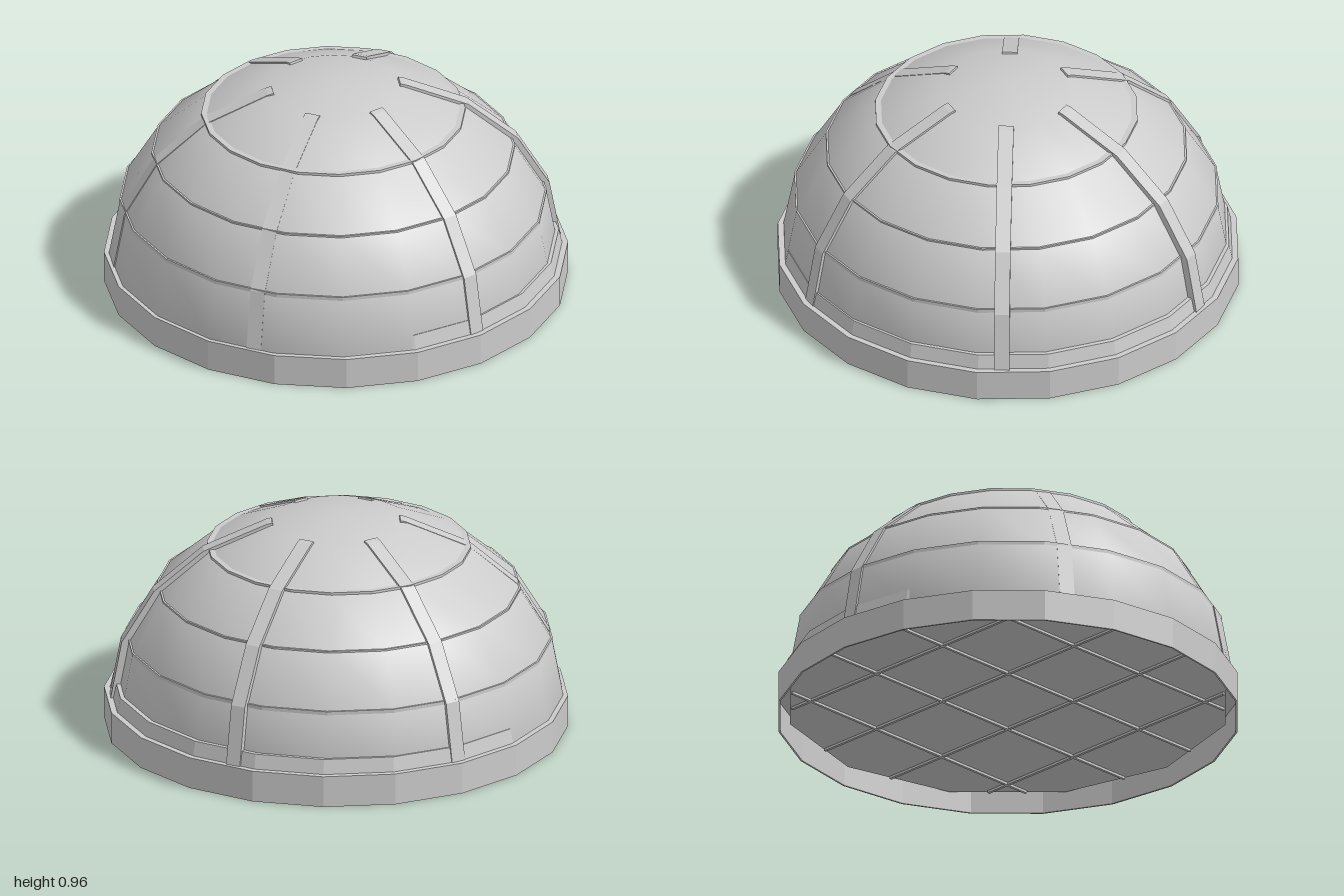
import * as THREE from 'three';

const SIDES = 20;
const DOME_R = 0.967, DOME_H = 0.825, BASE_H = 0.14, DOME_Z = 0.015;
const FLOOR_Y = 0.08, FLOOR_R = 0.97;

const smooth = new THREE.MeshStandardMaterial({ color: 0xcccccc, side: THREE.DoubleSide });
const flat = new THREE.MeshStandardMaterial({ color: 0xcccccc, side: THREE.DoubleSide, flatShading: true });

function add(parent, name, geometry, material) {
  const mesh = new THREE.Mesh(geometry, material);
  mesh.name = name;
  parent.add(mesh);
  return mesh;
}

// Band turned around the y axis, its outer face may slope
function band(inner, outer, y0, y1, outerTop = outer) {
  const profile = [[inner, y0], [outer, y0], [outerTop, y1], [inner, y1], [inner, y0]];
  return new THREE.LatheGeometry(profile.map(([r, y]) => new THREE.Vector2(r, y)), SIDES);
}

// Point on the dome section, at an angle from the apex
function domePoint(degrees, offset = 0) {
  const a = THREE.MathUtils.degToRad(degrees);
  return new THREE.Vector2(
    (DOME_R + offset) * Math.sin(a),
    BASE_H + (DOME_H + offset) * Math.cos(a)
  );
}

export function createModel() {
  const model = new THREE.Group();
  model.name = 'dome';

  // Base rim, open underneath
  add(model, 'baseRim', band(0.992, 1, 0, BASE_H), flat);
  add(model, 'baseLedge', band(0.9, 0.995, BASE_H - 0.005, BASE_H), flat);

  // Twelve-sided floor inside the rim, with a lattice of thin battens below it
  const floor = add(model, 'floor', new THREE.CylinderGeometry(FLOOR_R, FLOOR_R, 0.02, 12), flat);
  floor.position.y = FLOOR_Y + 0.01;
  const lattice = new THREE.Group();
  lattice.name = 'floorLattice';
  lattice.position.y = FLOOR_Y - 0.005;
  model.add(lattice);
  for (const d of [-0.6, -0.2, 0.2, 0.6]) {
    const length = 2 * Math.sqrt(0.87 - d * d);
    add(lattice, 'floorBatten', new THREE.BoxGeometry(length, 0.012, 0.012), flat).position.z = d;
    add(lattice, 'floorBatten', new THREE.BoxGeometry(0.012, 0.012, length), flat).position.x = d;
  }

  // Dome shell, slightly forward of the base
  const shellGeo = new THREE.SphereGeometry(DOME_R, SIDES, 5, 0, Math.PI * 2, 0, Math.PI / 2);
  shellGeo.scale(1, DOME_H / DOME_R, 1);
  const shell = add(model, 'domeShell', shellGeo, smooth);
  shell.position.set(0, BASE_H, DOME_Z);

  // Horizontal rings at the bends of the shell: angle, bottom, top
  for (const [degrees, y0, y1] of [[36, 0.803, 0.818], [54, 0.62, 0.631], [72, 0.379, 0.406]]) {
    const r = domePoint(degrees).x;
    const ring = add(model, 'ring', band(r - 0.04, r + 0.001, y0, y1), flat);
    ring.position.z = DOME_Z;
  }

  // Sloping ring at the foot of the shell
  add(model, 'footRing', band(0.93, 0.974, BASE_H, 0.204, 0.96), flat);

  // Six bent ribs around the dome
  const angles = [16.5, 18, 36, 54, 72, 90];
  const outline = [
    ...angles.map(a => domePoint(a, 0.006)),
    ...angles.slice().reverse().map(a => domePoint(a, -0.03)),
  ];
  const width = 0.066;
  const ribGeo = new THREE.ExtrudeGeometry(new THREE.Shape(outline), { depth: width, bevelEnabled: false });
  ribGeo.translate(0, 0, -width / 2);
  for (let i = 0; i < 6; i++) {
    add(model, 'rib', ribGeo, flat).rotation.y = (i * Math.PI) / 3;
  }

  return model;
}
